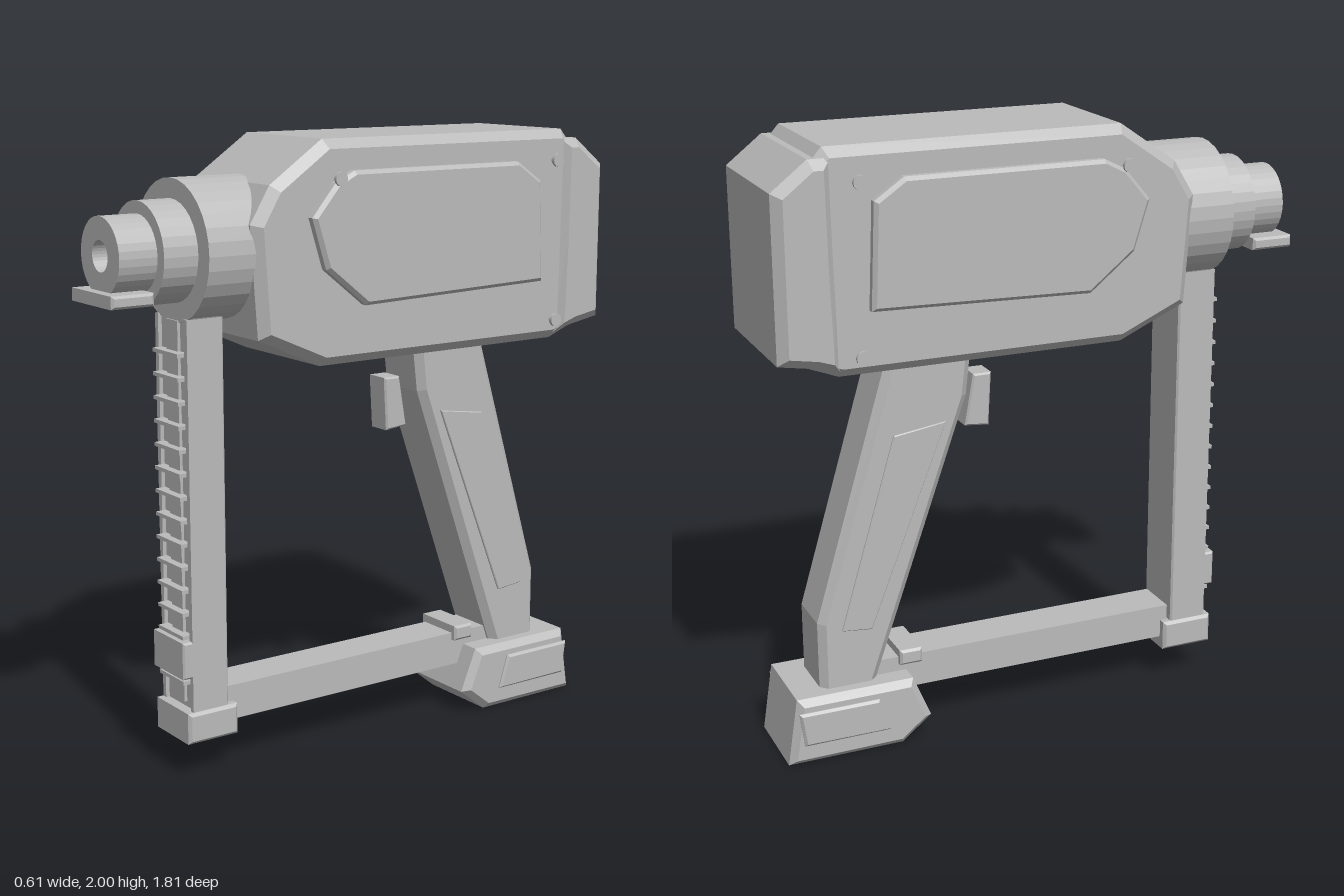
import * as THREE from 'three';

const CX = -0.005; // centre line of the tool

export function createModel() {
  const root = new THREE.Group();
  root.name = 'nailGun';
  const grey = new THREE.MeshStandardMaterial({ color: 0xbababa });
  grey.name = 'grey';

  const add = (name, geometry) => {
    const mesh = new THREE.Mesh(geometry, grey);
    mesh.name = name;
    root.add(mesh);
    return mesh;
  };

  // Chamfered slab: a side outline of [z, y] points, spread across x0..x1
  const slab = (name, outline, x0, x1, bevel) => {
    const shape = new THREE.Shape(outline.map(([z, y]) => new THREE.Vector2(-z, y)));
    const geo = new THREE.ExtrudeGeometry(shape, {
      depth: x1 - x0 - 2 * bevel, bevelEnabled: bevel > 0, bevelSegments: 1,
      bevelSize: bevel, bevelThickness: bevel, bevelOffset: -bevel,
    });
    geo.translate(0, 0, x0 + bevel);
    geo.rotateY(Math.PI / 2);
    return add(name, geo);
  };
  const centred = (name, outline, half, bevel) => slab(name, outline, CX - half, CX + half, bevel);

  // Box from its limits, with optional chamfer
  const block = (name, half, y0, y1, z0, z1, bevel = 0) =>
    centred(name, [[z0, y0], [z1, y0], [z1, y1], [z0, y1]], half, bevel);

  // The same raised panel on both sides
  const sidePanels = (name, outline, inner, outer, bevel) => {
    slab(name + 'Left', outline, CX + inner, CX + outer, bevel);
    slab(name + 'Right', outline, CX - outer, CX - inner, bevel);
  };

  // Motor housing and rear cap
  centred('housing', [
    [0.22, 2], [0.41, 1.87], [0.48, 1.755], [0.455, 1.405],
    [0.23, 1.305], [-0.71, 1.305], [-0.8, 1.34], [-0.8, 1.93], [-0.74, 2],
  ], 0.24, 0.03);
  centred('rearCap', [
    [-0.72, 1.97], [-0.79, 1.97], [-0.905, 1.88], [-0.905, 1.365], [-0.79, 1.345],
    [-0.71, 1.325], [-0.715, 1.65],
  ], 0.26, 0.03);
  sidePanels('housingPanel', [
    [0.295, 1.77], [0.21, 1.87], [0.14, 1.905], [-0.51, 1.905],
    [-0.605, 1.84], [-0.62, 1.51], [0.095, 1.49], [0.245, 1.61],
  ], 0.235, 0.28, 0.012);

  // Screws standing off the housing
  for (const side of [1, -1]) {
    for (const [z, y] of [[0.21, 1.885], [-0.655, 1.905], [-0.66, 1.38]]) {
      for (const [radius, length, x] of [[0.022, 0.01, 0.298], [0.015, 0.012, 0.288]]) {
        const screw = add('screw', new THREE.CylinderGeometry(radius, radius, length, 12));
        screw.rotation.z = Math.PI / 2;
        screw.position.set(CX + side * x, y, z);
      }
    }
  }

  // Stepped nose with a bore
  const steps = [
    [0.22, 0.3], [0.22, 0.627], [0.158, 0.627], [0.158, 0.743],
    [0.119, 0.743], [0.119, 0.87], [0.048, 0.87], [0.048, 0.78], [0, 0.78],
  ].map(([r, z]) => new THREE.Vector2(r, z));
  const nose = new THREE.LatheGeometry(steps, 32).toNonIndexed();
  nose.computeVertexNormals();
  nose.rotateX(Math.PI / 2);
  nose.translate(CX, 1.67, 0);
  add('nose', nose);
  block('nosePlate', 0.129, 1.527, 1.567, 0.76, 0.903, 0.008);

  // Magazine with raised rails, centre strip and rungs
  block('magazine', 0.095, 0.2, 1.52, 0.505, 0.622, 0.006);
  const collar = new THREE.Shape([
    [-0.12, 1.52], [-0.09, 1.46], [0.09, 1.46], [0.12, 1.52],
  ].map(([x, y]) => new THREE.Vector2(x, y)));
  const collarGeo = new THREE.ExtrudeGeometry(collar, { depth: 0.11, bevelEnabled: false });
  collarGeo.translate(CX, 0, 0.51);
  add('magazineCollar', collarGeo);
  for (const side of [1, -1]) {
    const x = CX + side * 0.086;
    slab('magazineRail', [[0.6, 0.2], [0.635, 0.2], [0.635, 1.47], [0.6, 1.47]], x - 0.009, x + 0.009, 0);
  }
  block('nailStrip', 0.034, 0.24, 1.46, 0.61, 0.632);
  for (let i = 0; i < 15; i++) {
    const y = 1.36 - i * 0.0745;
    block('rung', 0.075, y - 0.006, y + 0.006, 0.61, 0.658);
  }
  block('magazineClip', 0.095, 0.335, 0.455, 0.62, 0.668, 0.006);
  block('magazineFoot', 0.106, 0.12, 0.222, 0.475, 0.657, 0.01);

  // Lower brace between magazine and battery
  block('brace', 0.075, 0.16, 0.275, -0.58, 0.5);
  block('braceLatch', 0.095, 0.25, 0.302, -0.495, -0.418, 0.008);

  // Handle, grip panels and trigger
  centred('handle', [
    [-0.23, 1.36], [-0.23, 1.32], [-0.25, 1.15], [-0.585, 0.2],
    [-0.77, 0.2], [-0.77, 0.45], [-0.51, 1.32], [-0.5, 1.36],
  ], 0.106, 0.024);
  sidePanels('gripPanel', [[-0.33, 1.08], [-0.505, 1.055], [-0.695, 0.42], [-0.595, 0.41]], 0.1, 0.113, 0.003);
  centred('trigger', [[-0.145, 1.2], [-0.207, 1.2], [-0.237, 1.03], [-0.155, 1.022]], 0.045, 0.006);

  // Battery base
  centred('battery', [[-0.47, 0.225], [-0.865, 0.225], [-0.9, 0], [-0.51, 0], [-0.41, 0.08]], 0.163, 0.022);
  sidePanels('batteryPanel', [[-0.595, 0.185], [-0.865, 0.185], [-0.85, 0.07], [-0.56, 0.07]], 0.155, 0.175, 0.008);

  return root;
}
